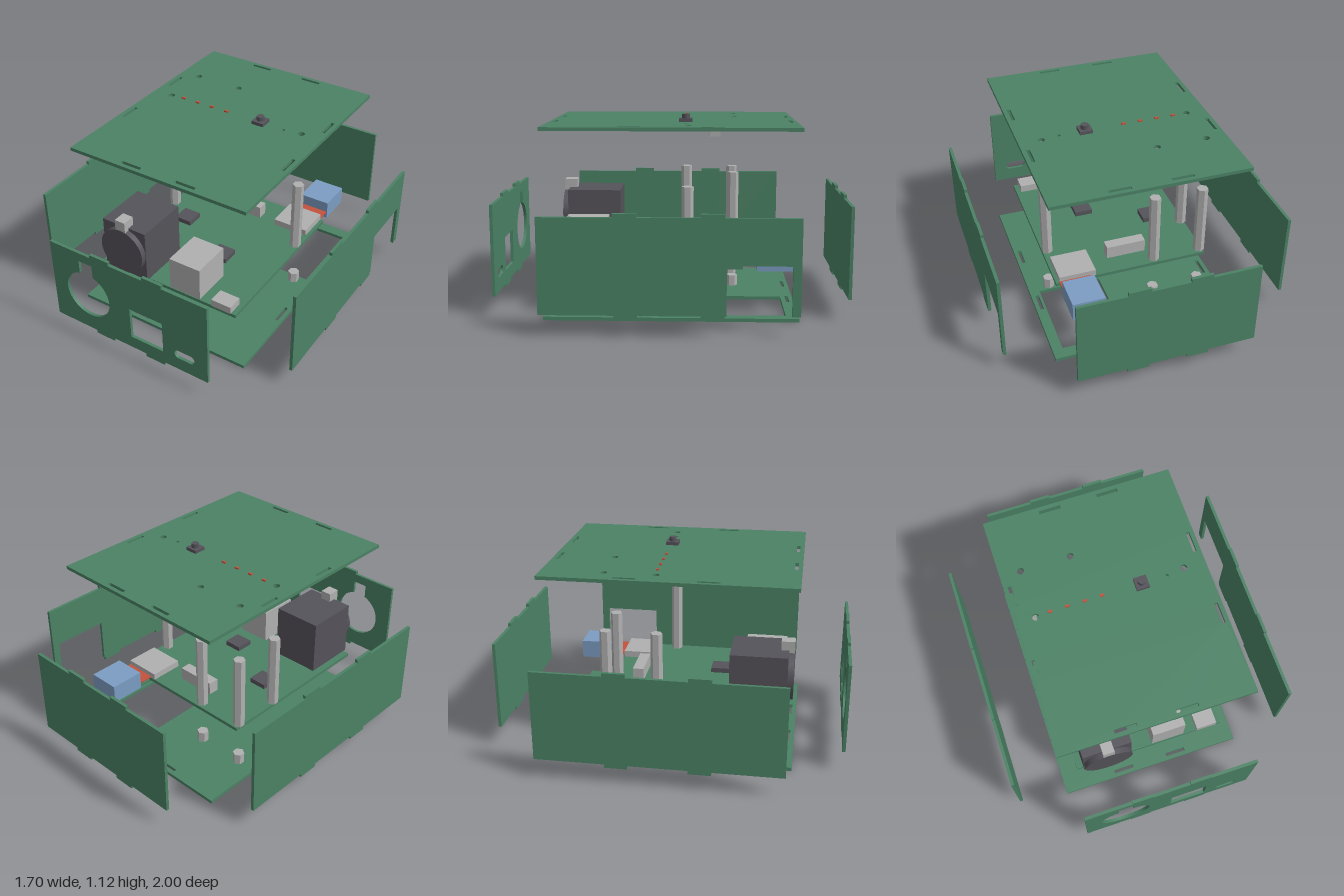
import * as THREE from 'three';

const mat = (name, color) => Object.assign(new THREE.MeshStandardMaterial({ color }), { name });

export function createModel() {
  const root = new THREE.Group();
  root.name = 'explodedElectronicsCase';
  const green = mat('boardGreen', 0x4b8265);
  const dark = mat('charcoal', 0x55535a);
  const grey = mat('metalGrey', 0xb0b0b0);
  const blue = mat('cardBlue', 0x7b9cc2);
  const red = mat('signalRed', 0xc4523c);

  const add = (name, geo, material) => {
    const m = new THREE.Mesh(geo, material);
    m.name = name;
    root.add(m);
    return m;
  };
  // Box given by its limits on each axis
  const box = (name, material, [x0, x1], [y0, y1], [z0, z1]) =>
    add(name, new THREE.BoxGeometry(x1 - x0, y1 - y0, z1 - z0), material)
      .position.set((x0 + x1) / 2, (y0 + y1) / 2, (z0 + z1) / 2);
  const poly = (pts, Type = THREE.Path) => new Type(pts.map(p => new THREE.Vector2(...p)));
  const rect = (x0, x1, y0, y1, Type) => poly([[x0, y0], [x1, y0], [x1, y1], [x0, y1]], Type);
  const circle = (x, y, r) => new THREE.Path().absarc(x, y, r, 0, Math.PI * 2, true);
  const extrude = (shape, depth) =>
    new THREE.ExtrudeGeometry(shape, { depth, bevelEnabled: false, curveSegments: 20 });

  const posts = [[-0.44, -0.36], [-0.15, -0.36], [-0.44, -0.07], [0.43, -0.09]];

  // Horizontal plates, with tab slots along the edges and a hole at each post
  const plate = (name, y, extraHoles) => {
    const s = rect(-0.56, 0.56, -0.71, 0.71, THREE.Shape);
    for (const e of [-1, 1]) for (const k of [-1, 1]) {
      const along = [0.11, 0.235].map(v => v * k).sort((a, b) => a - b);
      const side = [0.165, 0.29].map(v => v * k).sort((a, b) => a - b);
      s.holes.push(rect(...along, e * 0.676 - 0.01, e * 0.676 + 0.01));
      s.holes.push(rect(e * 0.525 - 0.01, e * 0.525 + 0.01, ...side));
    }
    for (const [x, z] of posts) s.holes.push(circle(x, -z, 0.02));
    s.holes.push(...extraHoles);
    const g = extrude(s, 0.02);
    g.rotateX(-Math.PI / 2);
    add(name, g, green).position.y = y;
  };
  plate('bottomPlate', 0, [rect(0.12, 0.5, 0.13, 0.64)]);
  plate('topPlate', 1.053, [circle(0.325, 0.075, 0.01)]);

  // Upright panels: two tabs on the top and bottom edges, optional notch
  const panelShape = (w, t0, t1, notch) => {
    const low = [[-w, 0.12], [-t1, 0.12], [-t1, 0.1], [-t0, 0.1], [-t0, 0.12],
      [t0, 0.12], [t0, 0.1], [t1, 0.1], [t1, 0.12]];
    if (notch) low.push([0.3, 0.12], [0.3, 0.39], [0.64, 0.39], [0.64, 0.12]);
    low.push([w, 0.12]);
    const high = [[w, 0.64], [t1, 0.64], [t1, 0.66], [t0, 0.66], [t0, 0.64],
      [-t0, 0.64], [-t0, 0.66], [-t1, 0.66], [-t1, 0.64], [-w, 0.64]];
    return poly([...low, ...high], THREE.Shape);
  };

  // Front panel with keyhole, square window and rounded slot
  const front = panelShape(0.515, 0.11, 0.235);
  const a = Math.asin(0.045 / 0.147);
  const keyhole = new THREE.Path();
  keyhole.absarc(-0.272, 0.365, 0.147, Math.PI / 2 - a, Math.PI / 2 + a, true);
  keyhole.lineTo(-0.317, 0.585);
  keyhole.lineTo(-0.227, 0.585);
  keyhole.closePath();
  const slot = new THREE.Path();
  slot.absarc(0.405, 0.228, 0.027, -Math.PI / 2, Math.PI / 2, false);
  slot.absarc(0.33, 0.228, 0.027, Math.PI / 2, Math.PI * 1.5, false);
  slot.closePath();
  front.holes.push(keyhole, rect(0.013, 0.228, 0.197, 0.397), slot);
  add('frontPanel', extrude(front, 0.018), green).position.z = 0.982;
  add('backPanel', extrude(panelShape(0.515, 0.11, 0.235), 0.018), green).position.z = -1;

  // Side panels, the left one notched for the card
  for (const s of [1, -1]) {
    const g = extrude(panelShape(0.685, 0.165, 0.29, s > 0), 0.018);
    g.rotateY(Math.PI / 2);
    add(s > 0 ? 'leftPanel' : 'rightPanel', g, green).position.x = s > 0 ? 0.83 : -0.848;
  }

  // Circuit board in the middle
  box('circuitBoard', green, [-0.46, 0.46], [0.273, 0.293], [-0.4, 0.64]);

  // Hexagonal standoffs above the board and short ones on the bottom plate
  for (const [x, z] of posts) {
    for (const [name, y0, y1] of [['tallStandoff', 0.293, 0.735], ['shortStandoff', 0.02, 0.085]]) {
      const g = new THREE.CylinderGeometry(0.034, 0.034, y1 - y0, 6).toNonIndexed();
      g.computeVertexNormals();
      add(name, g, grey).position.set(x, (y0 + y1) / 2, z);
    }
  }

  // Round-faced connector in its dark housing
  box('connectorHousing', dark, [-0.42, -0.125], [0.293, 0.62], [0.335, 0.66]);
  const face = new THREE.CylinderGeometry(0.145, 0.145, 0.04, 40);
  face.rotateX(Math.PI / 2);
  add('connectorFace', face, dark).position.set(-0.272, 0.465, 0.673);
  box('connectorLatch', grey, [-0.305, -0.238], [0.6, 0.673], [0.615, 0.692]);

  // Sockets along the front edge
  box('largeSocket', grey, [0.02, 0.222], [0.293, 0.497], [0.39, 0.635]);
  box('smallSocket', grey, [0.305, 0.43], [0.293, 0.338], [0.55, 0.645]);

  // Matching pin headers on the board and below the top plate
  box('boardHeader', grey, [-0.127, 0.11], [0.293, 0.37], [-0.275, -0.21]);
  box('topHeader', grey, [-0.127, 0.11], [0.98, 1.053], [-0.275, -0.21]);

  // Card slot, contact strip and card
  box('cardSlot', grey, [0.22, 0.44], [0.293, 0.332], [-0.4, -0.2]);
  box('cardContacts', red, [0.25, 0.44], [0.296, 0.304], [-0.48, -0.4]);
  box('cardBody', blue, [0.255, 0.445], [0.26, 0.37], [-0.685, -0.48]);

  // Chips
  for (const [x, z] of [[-0.27, 0.04], [0.115, 0.235]])
    box('chip', dark, [x - 0.055, x + 0.055], [0.293, 0.322], [z - 0.055, z + 0.055]);

  // Indicator lights and push button on the top plate
  for (let i = 0; i < 4; i++) {
    const x = -0.355 + i * 0.1;
    box('indicatorLight', red, [x - 0.012, x + 0.012], [1.073, 1.082], [-0.082, -0.069]);
  }
  box('buttonBase', dark, [0.137, 0.212], [1.073, 1.092], [-0.112, -0.037]);
  add('buttonCap', new THREE.CylinderGeometry(0.022, 0.022, 0.026, 24), dark)
    .position.set(0.175, 1.104, -0.075);

  return root;
}
